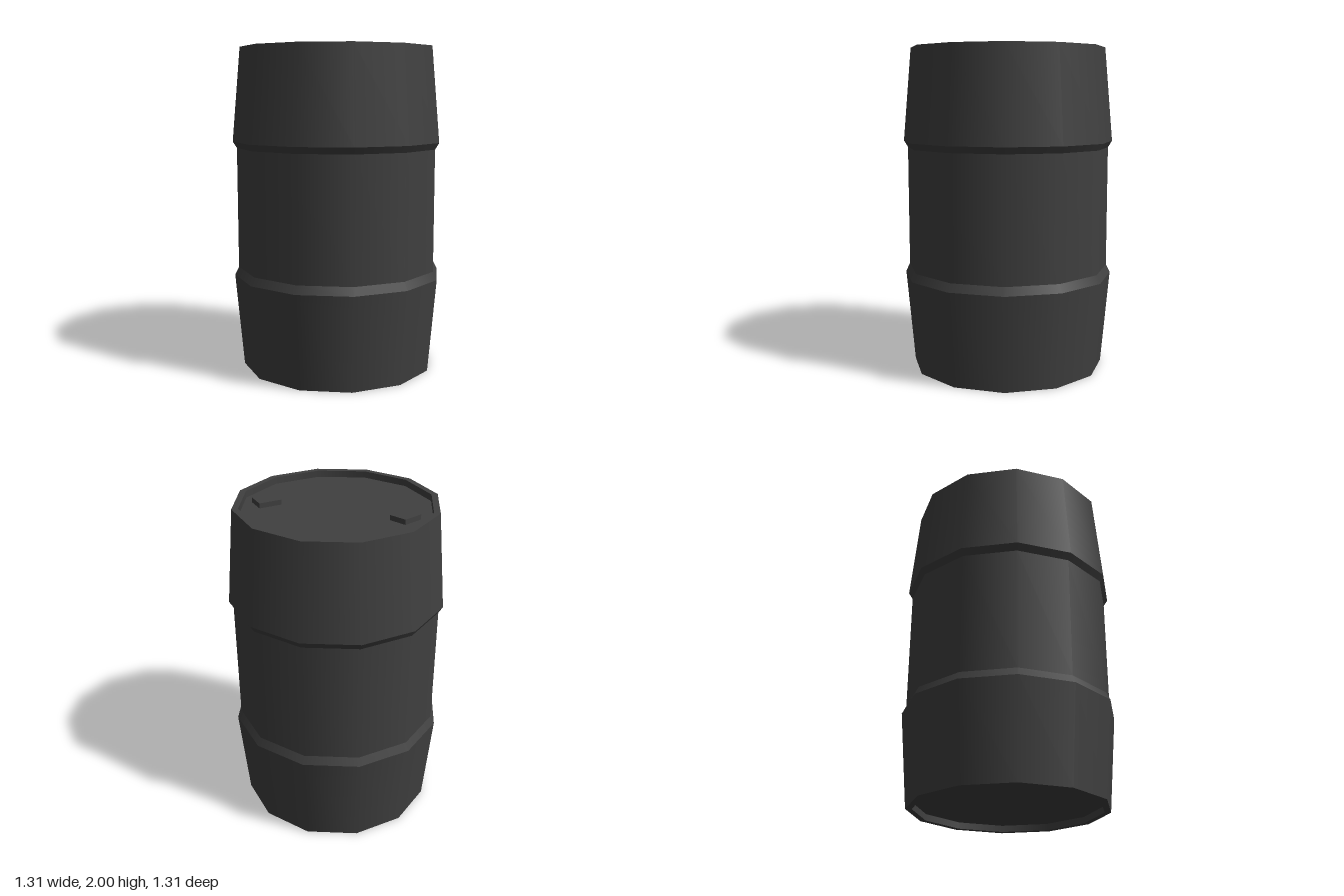
import * as THREE from 'three';

const SIDES = 12;

export function createModel() {
  const model = new THREE.Group();
  model.name = 'barrel';
  const plastic = new THREE.MeshStandardMaterial({ color: 0x404040 });
  plastic.name = 'dark grey plastic';

  const add = (name, geometry) => {
    const mesh = new THREE.Mesh(geometry, plastic);
    mesh.name = name;
    model.add(mesh);
    return mesh;
  };

  // Profile from the centre of the base, up the side, to the centre of the lid.
  // Each band is its own lathe: smooth around, crisp between bands.
  const profile = [
    [0, 0.04], [0.565, 0.04], [0.565, 0], [0.603, 0], [0.655, 0.585], [0.63, 0.635],
    [0.63, 1.385], [0.655, 1.425], [0.603, 2], [0.565, 2], [0.565, 1.96], [0, 1.96],
  ].map(([r, y]) => new THREE.Vector2(r, y));
  const bands = [
    'base', 'baseRimInside', 'baseRim', 'lowerBody', 'lowerBevel', 'middleBody',
    'upperBevel', 'upperBody', 'topRim', 'topRimInside', 'lid',
  ];
  bands.forEach((name, i) => {
    add(name, new THREE.LatheGeometry([profile[i], profile[i + 1]], SIDES));
  });

  // Five-sided bung caps on the lid, outlined in x and z
  const addCap = (name, outline) => {
    const shape = new THREE.Shape(outline.map(([x, z]) => new THREE.Vector2(x, -z)));
    const geometry = new THREE.ExtrudeGeometry(shape, { depth: 0.03, bevelEnabled: false });
    geometry.rotateX(-Math.PI / 2);
    add(name, geometry).position.y = 1.96;
  };
  addCap('rightCap', [[-0.498, -0.02], [-0.435, -0.125], [-0.337, -0.083], [-0.337, 0.039], [-0.449, 0.077]]);
  addCap('leftCap', [[0.323, -0.043], [0.42, -0.142], [0.5, -0.063], [0.484, 0.06], [0.393, 0.109]]);

  return model;
}
